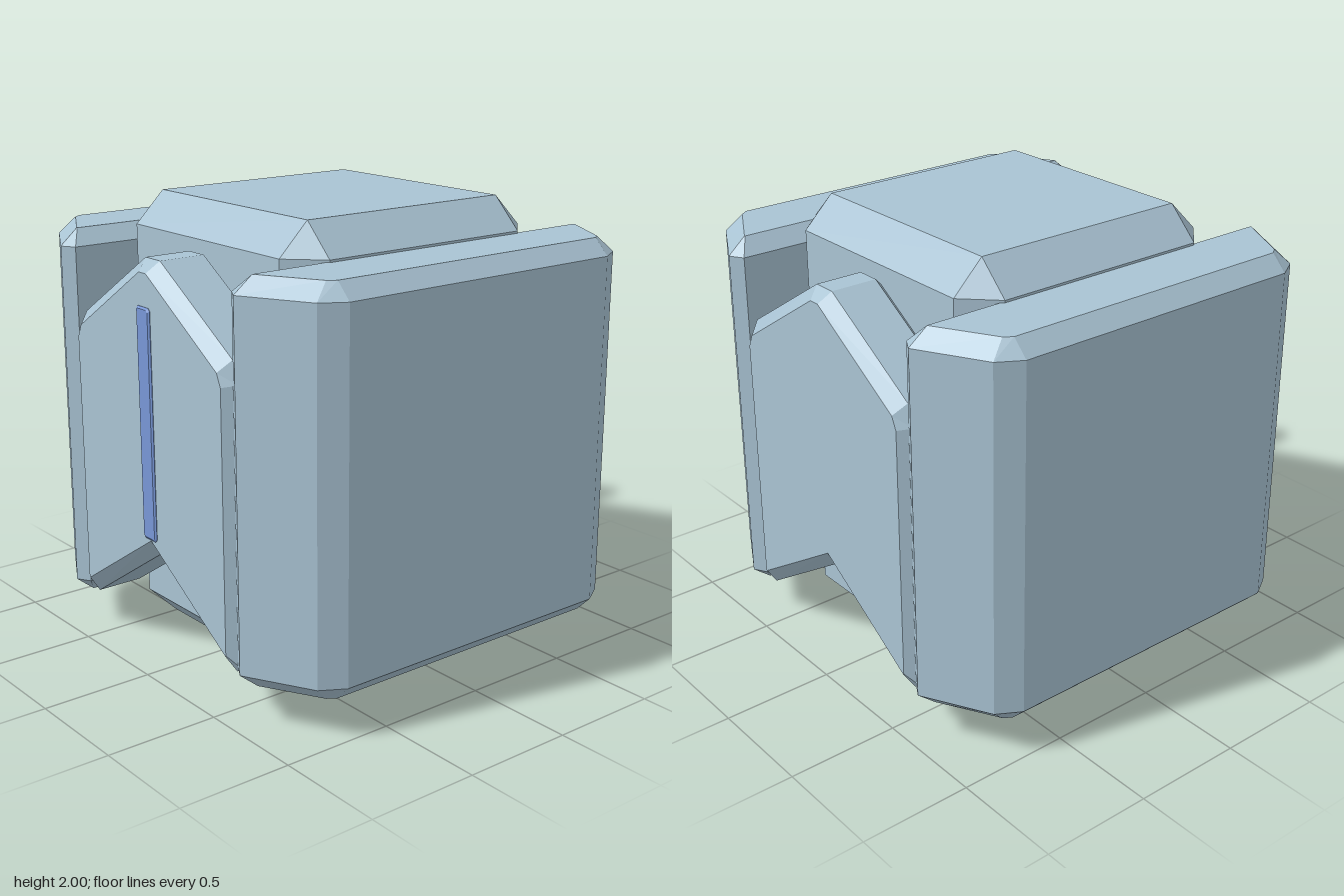
import * as THREE from 'three';

// Adds the mirrored half (x -> -x) to an outline listed counter-clockwise on the +x side.
const mirrorX = (half) => [...half, ...half.slice().reverse().filter(([x]) => x !== 0).map(([x, y]) => [-x, y])];
// Same across the v axis, for outlines listed on the +v side.
const mirrorV = (half) => [...half, ...half.slice().reverse().map(([x, y]) => [x, -y])];

// Flat-shaded solid through stacked outlines [points, height], capped at both ends.
function loft(rings) {
  const pos = [];
  const tri = (a, b, c) => {
    const area = new THREE.Triangle(a, b, c).getArea();
    if (area > 1e-8) for (const p of [a, b, c]) pos.push(p.x, p.y, p.z);
  };
  const layers = rings.map(([pts, h]) => pts.map(([x, y]) => new THREE.Vector3(x, y, h)));
  for (let i = 0; i + 1 < layers.length; i++) {
    const lo = layers[i], hi = layers[i + 1], n = lo.length;
    for (let j = 0; j < n; j++) {
      const k = (j + 1) % n;
      tri(lo[j], lo[k], hi[k]);
      tri(lo[j], hi[k], hi[j]);
    }
  }
  const cap = (layer, up) => {
    const flat = layer.map((p) => new THREE.Vector2(p.x, p.y));
    for (const [a, b, c] of THREE.ShapeUtils.triangulateShape(flat, [])) {
      const ccw = flat[b].clone().sub(flat[a]).cross(flat[c].clone().sub(flat[a])) > 0;
      if (ccw === up) tri(layer[a], layer[b], layer[c]);
      else tri(layer[a], layer[c], layer[b]);
    }
  };
  cap(layers[0], false);
  cap(layers[layers.length - 1], true);
  const geo = new THREE.BufferGeometry();
  geo.setAttribute('position', new THREE.Float32BufferAttribute(pos, 3));
  geo.computeVertexNormals();
  return geo;
}

// Solid with the same chamfer at both ends.
const chamfered = (face, body, h0, h1, bevel) =>
  loft([[face, h0], [body, h0 + bevel], [body, h1 - bevel], [face, h1]]);

export function createModel() {
  const group = new THREE.Group();
  const shell = new THREE.MeshStandardMaterial({ color: 0xa9c3d3 });
  shell.name = 'pale blue shell';
  const accent = new THREE.MeshStandardMaterial({ color: 0x7897d6 });
  accent.name = 'blue accent';
  const add = (name, geo, mat, turn = 0) => {
    const mesh = new THREE.Mesh(geo, mat);
    mesh.name = name;
    mesh.rotation.y = turn;
    group.add(mesh);
    return mesh;
  };

  // Core block with every edge chamfered
  const a = 0.515, b = 0.655;
  const coreCap = [[a, -a], [a, -a], [a, a], [a, a], [-a, a], [-a, a], [-a, -a], [-a, -a]];
  const coreBody = [[a, -b], [b, -a], [b, a], [a, b], [-a, b], [-b, a], [-b, -a], [-a, -b]];
  const core = chamfered(coreCap, coreBody, 0, 2, 0.138).rotateX(-Math.PI / 2);
  add('core', core, shell);

  // Side panels with tapered ends
  const sideBody = mirrorV([[1, 0.7], [0.938, 0.805], [0.64, 0.965], [0.578, 0.928]]);
  const sideCap = mirrorV([[0.93, 0.7], [0.905, 0.735], [0.645, 0.88], [0.643, 0.878]]);
  const side = chamfered(sideCap, sideBody, 0.16, 1.852, 0.07).rotateX(-Math.PI / 2);
  add('leftSidePanel', side, shell);
  add('rightSidePanel', side, shell, Math.PI);

  // Front and back panels: peaked top, notched bottom
  const faceOutline = mirrorX([[0, 0.61], [0.53, 0.272], [0.535, 0.276], [0.535, 1.4], [0.51, 1.455], [0.025, 1.765]]);
  const bodyOutline = mirrorX([[0, 0.54], [0.54, 0.192], [0.578, 0.215], [0.578, 1.41], [0.545, 1.505], [0.053, 1.815]]);
  const panel = chamfered(faceOutline, bodyOutline, 0.64, 0.958, 0.053);
  add('frontPanel', panel, shell);
  add('backPanel', panel, shell, Math.PI);

  // Thin vertical strip on the front panel
  const rect = (w, y0, y1, c) => mirrorX([[w - c, y0], [w, y0 + c], [w, y1 - c], [w - c, y1]]);
  const strip = loft([
    [rect(0.049, 0.615, 1.625, 0.012), 0.957],
    [rect(0.049, 0.615, 1.625, 0.012), 0.96],
    [rect(0.04, 0.624, 1.616, 0.008), 0.9665],
  ]);
  add('frontStrip', strip, accent);

  return group;
}
